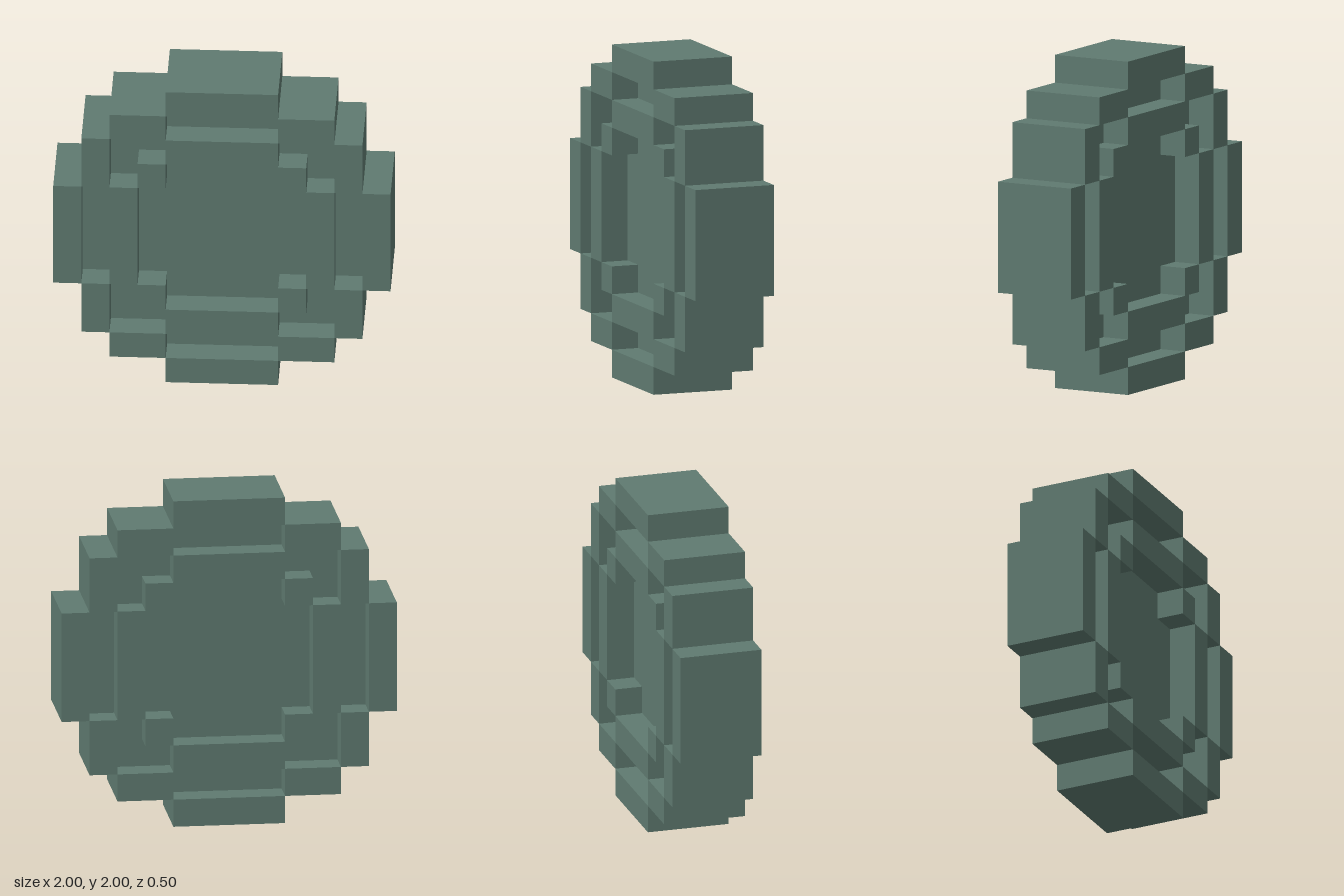
import * as THREE from 'three';

const U = 1 / 6; // one block of the 12 x 12 grid
const DEPTH = 3 * U;
const CORE_DEPTH = U;

export function createModel() {
  const model = new THREE.Group();
  model.name = 'blockCoin';
  const material = new THREE.MeshStandardMaterial({ color: 0x5f7a70, flatShading: true });

  // Full-depth block, centre and size given in grid units
  function block(parent, name, cx, cy, w, h) {
    const mesh = new THREE.Mesh(new THREE.BoxGeometry(w * U, h * U, DEPTH), material);
    mesh.name = name;
    mesh.position.set(cx * U, cy * U, 0);
    parent.add(mesh);
  }

  function group(name) {
    const g = new THREE.Group();
    g.name = name;
    g.position.y = 1;
    model.add(g);
    return g;
  }

  // Outer rim and raised inner frame, mirrored around the centre
  const rim = group('rim');
  const frame = group('innerFrame');
  for (const s of [-1, 1]) {
    block(rim, 'rimEndBlock', 0, 5.5 * s, 4, 1);
    block(rim, 'rimSideBlock', 5.5 * s, 0, 1, 4);
    block(frame, 'frameEndBar', 0, 3.5 * s, 4, 1);
    block(frame, 'frameSideBar', 3.5 * s, 0, 1, 4);
    for (const t of [-1, 1]) {
      block(rim, 'rimShoulderFlat', 3 * s, 4.5 * t, 2, 1);
      block(rim, 'rimShoulderTall', 4.5 * s, 3 * t, 1, 2);
      block(frame, 'frameCorner', 2.5 * s, 2.5 * t, 1, 1);
    }
  }

  // Thin stepped core, recessed on both faces
  const quarter = [[5, -2], [5, 2], [4, 2], [4, 4], [2, 4], [2, 5]];
  const outline = [];
  for (let q = 0; q < 4; q++) {
    for (const [x, y] of quarter.slice(1)) {
      const p = new THREE.Vector2(x * U, y * U);
      outline.push(p.rotateAround(new THREE.Vector2(), q * Math.PI / 2));
    }
  }
  const coreGeometry = new THREE.ExtrudeGeometry(new THREE.Shape(outline), {
    depth: CORE_DEPTH, bevelEnabled: false,
  });
  coreGeometry.translate(0, 0, -CORE_DEPTH / 2);
  const core = new THREE.Mesh(coreGeometry, material);
  core.name = 'core';
  group('recessedCore').add(core);

  return model;
}
